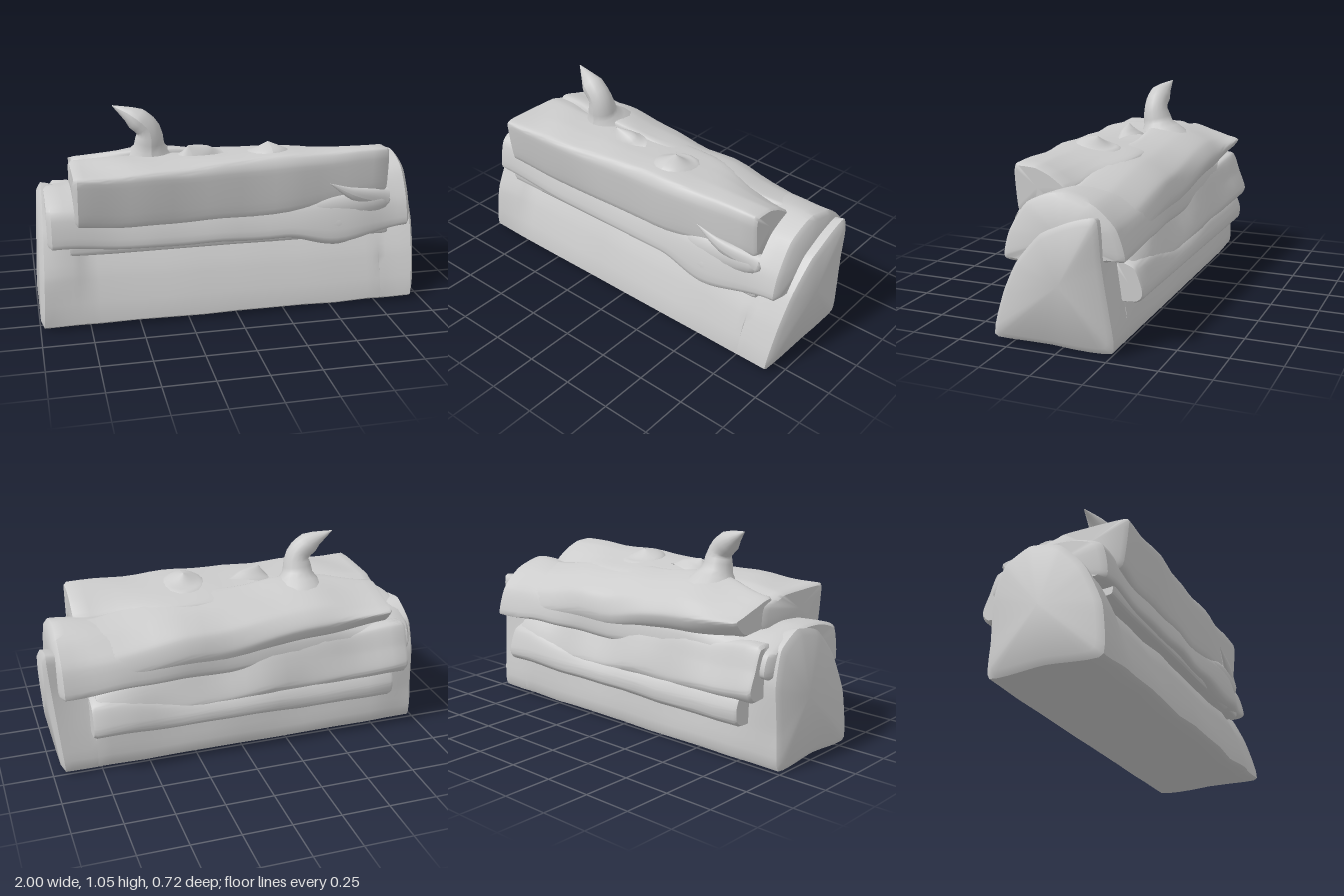
import * as THREE from 'three';
import { toCreasedNormals } from 'three/addons/utils/BufferGeometryUtils.js';

const material = new THREE.MeshStandardMaterial({ color: 0xcccccc, side: THREE.DoubleSide });
const RING = 48, STEPS = 8;

// Closed solid lofted along x. Each row is [x, [[z, y], ...]], going from the back over the top to the front.
function loft(name, rows, { wobble = 0.006, round = 0.015, tension = 0.35, lean = () => 0 } = {}) {
  const rings = rows.map(([x, pts]) => ({
    x,
    pts: new THREE.CatmullRomCurve3(pts.map(([z, y]) => new THREE.Vector3(0, y, z)), true, 'catmullrom', tension)
      .getPoints(RING).slice(0, RING),
  }));
  const sections = [];
  for (let i = 0; i < rings.length - 1; i++) {
    const a = rings[i], b = rings[i + 1];
    for (let s = i ? 1 : 0; s <= STEPS; s++) {
      const t = s / STEPS;
      const e = t * t * (3 - 2 * t);
      sections.push({ x: a.x + (b.x - a.x) * t, pts: a.pts.map((p, j) => p.clone().lerp(b.pts[j], e)) });
    }
  }
  // rounded ends: a shrunken section slightly beyond each end
  const shrink = ({ x, pts }, dx) => {
    const c = pts.reduce((s, p) => s.add(p), new THREE.Vector3()).divideScalar(RING);
    return { x: x + dx, pts: pts.map((p) => p.clone().lerp(c, 0.1)) };
  };
  sections.unshift(shrink(sections[0], -round));
  sections.push(shrink(sections[sections.length - 1], round));

  const pos = [], index = [];
  for (const { x, pts } of sections) {
    for (const p of pts) {
      const w = wobble * (Math.sin(x * 9 + p.y * 7) + Math.sin(x * 17 - p.z * 11)) * 0.5;
      pos.push(x + lean(x, p.y), p.y + w, p.z + w * Math.sign(p.z));
    }
  }
  const last = sections.length - 1;
  for (let i = 0; i < last; i++) {
    for (let j = 0; j < RING; j++) {
      const k = (j + 1) % RING;
      const a = i * RING + j, b = i * RING + k, c = a + RING, d = b + RING;
      index.push(a, b, c, b, d, c);
    }
  }
  for (const [i, flip] of [[0, true], [last, false]]) {
    const c = new THREE.Vector3();
    for (let j = 0; j < RING; j++) c.add(new THREE.Vector3().fromArray(pos, (i * RING + j) * 3));
    c.divideScalar(RING);
    const centre = pos.length / 3;
    pos.push(c.x, c.y, c.z);
    for (let j = 0; j < RING; j++) {
      const a = i * RING + j, b = i * RING + (j + 1) % RING;
      index.push(centre, flip ? b : a, flip ? a : b);
    }
  }
  const geo = new THREE.BufferGeometry();
  geo.setAttribute('position', new THREE.Float32BufferAttribute(pos, 3));
  geo.setIndex(index);
  const mesh = new THREE.Mesh(toCreasedNormals(geo, 0.8), material);
  mesh.name = name;
  return mesh;
}

// Tapered, bent spike following a curve; depth flattens it in z.
function spike(name, points, radii, depth = 1) {
  const curve = new THREE.CatmullRomCurve3(points.map((p) => new THREE.Vector3(...p)));
  const geo = new THREE.CylinderGeometry(1, 1, 1, 16, 12, true);
  const p = geo.attributes.position;
  for (let i = 0; i < p.count; i++) {
    const t = p.getY(i) + 0.5;
    const f = t * (radii.length - 1), n = Math.min(Math.floor(f), radii.length - 2);
    const r = radii[n] + (radii[n + 1] - radii[n]) * (f - n);
    const c = curve.getPoint(t), dir = curve.getTangent(t);
    const q = new THREE.Quaternion().setFromUnitVectors(new THREE.Vector3(0, 1, 0), dir);
    const v = new THREE.Vector3(p.getX(i) * r, 0, p.getZ(i) * r).applyQuaternion(q);
    v.z *= depth;
    v.add(c);
    p.setXYZ(i, v.x, v.y, v.z);
  }
  geo.computeVertexNormals();
  const mesh = new THREE.Mesh(geo, material);
  mesh.name = name;
  return mesh;
}

function bump(name, position, scale, tilt = 0) {
  const mesh = new THREE.Mesh(new THREE.SphereGeometry(1, 20, 14), material);
  mesh.position.set(...position);
  mesh.scale.set(...scale);
  mesh.rotation.z = tilt;
  mesh.name = name;
  return mesh;
}

export function createModel() {
  const group = new THREE.Group();
  group.name = 'packedBundle';

  // main base: flat bottom, straight back, sloping front, fuller at its right end
  const leftEnd = [[-0.25, 0.015], [-0.25, 0.2], [-0.22, 0.45], [-0.2, 0.65], [-0.08, 0.63],
    [0.07, 0.56], [0.2, 0.41], [0.28, 0.25], [0.335, 0.02], [0.04, 0.02]];
  const middle = leftEnd.map(([z, y]) => [z, y > 0.5 ? y - 0.06 : y]);
  const rightEnd = [[-0.24, 0.015], [-0.25, 0.2], [-0.25, 0.42], [-0.2, 0.58], [-0.07, 0.65],
    [0.08, 0.61], [0.22, 0.47], [0.32, 0.27], [0.33, 0.02], [0.04, 0.02]];
  group.add(loft('base', [[-0.98, rightEnd], [-0.7, middle], [0.7, middle], [0.985, leftEnd]], {
    tension: 0.25, round: 0.018, wobble: 0.008,
    lean: (x, y) => (x > 0.8 ? -0.05 * Math.max(0, 1 - y / 0.6) : x < -0.8 ? 0.03 * y / 0.66 : 0),
  }));

  // blanket draped over the base, sagging at the front left
  group.add(loft('drapedCover', [
    [-0.92, [[-0.25, 0.44], [-0.28, 0.48], [-0.25, 0.56], [-0.14, 0.62], [0, 0.65],
      [0.15, 0.64], [0.28, 0.59], [0.31, 0.43], [0.24, 0.41], [0, 0.41]]],
    [-0.4, [[-0.25, 0.44], [-0.28, 0.49], [-0.26, 0.6], [-0.14, 0.69], [0, 0.71],
      [0.16, 0.67], [0.28, 0.55], [0.32, 0.41], [0.24, 0.385], [0, 0.4]]],
    [0.25, [[-0.25, 0.45], [-0.29, 0.49], [-0.27, 0.61], [-0.15, 0.7], [0, 0.72],
      [0.16, 0.67], [0.28, 0.55], [0.32, 0.41], [0.24, 0.38], [0, 0.4]]],
    [0.52, [[-0.25, 0.45], [-0.305, 0.48], [-0.27, 0.61], [-0.15, 0.7], [0, 0.73],
      [0.16, 0.68], [0.3, 0.57], [0.34, 0.37], [0.25, 0.335], [0, 0.4]]],
    [0.92, [[-0.24, 0.45], [-0.315, 0.46], [-0.27, 0.6], [-0.16, 0.7], [0, 0.74],
      [0.16, 0.68], [0.26, 0.54], [0.29, 0.42], [0.22, 0.4], [0, 0.4]]],
  ], { round: 0.02 }));

  // boxy roll lying on top at the front
  group.add(loft('topFrontRoll', [
    [-0.79, [[-0.12, 0.62], [-0.12, 0.74], [0.02, 0.79], [0.2, 0.79], [0.33, 0.785], [0.355, 0.76], [0.32, 0.54], [0.2, 0.5]]],
    [-0.5, [[-0.05, 0.62], [-0.05, 0.75], [0.04, 0.8], [0.2, 0.805], [0.33, 0.79], [0.35, 0.75], [0.31, 0.52], [0.2, 0.49]]],
    [0.2, [[-0.1, 0.62], [-0.1, 0.77], [0.03, 0.8], [0.18, 0.82], [0.29, 0.82], [0.32, 0.76], [0.3, 0.53], [0.2, 0.5]]],
    [0.79, [[0.02, 0.65], [0.02, 0.73], [0.1, 0.79], [0.18, 0.825], [0.28, 0.83], [0.295, 0.78], [0.28, 0.61], [0.2, 0.58]]],
  ], { tension: 0.25 }));

  // folded flap over the top of the back, jutting at its right end and sinking into the cover at the left
  group.add(loft('topBackFlap', [
    [-0.775, [[-0.25, 0.62], [-0.34, 0.7], [-0.28, 0.72], [-0.18, 0.75], [-0.06, 0.78], [0, 0.66]]],
    [-0.4, [[-0.25, 0.58], [-0.31, 0.66], [-0.25, 0.74], [-0.12, 0.8], [0.03, 0.82], [0, 0.66]]],
    [0.2, [[-0.25, 0.52], [-0.295, 0.58], [-0.26, 0.68], [-0.13, 0.76], [0.03, 0.79], [0, 0.66]]],
    [0.87, [[-0.24, 0.47], [-0.295, 0.5], [-0.26, 0.6], [-0.15, 0.69], [0, 0.73], [0, 0.65]]],
  ]));

  // sagging roll on the back, thicker toward the right end
  group.add(loft('upperBackRoll', [
    [-0.88, [[-0.2, 0.36], [-0.31, 0.33], [-0.345, 0.38], [-0.31, 0.48], [-0.27, 0.59], [-0.18, 0.58]]],
    [-0.3, [[-0.2, 0.35], [-0.3, 0.31], [-0.33, 0.36], [-0.3, 0.47], [-0.26, 0.56], [-0.18, 0.55]]],
    [0.3, [[-0.2, 0.32], [-0.3, 0.29], [-0.325, 0.33], [-0.29, 0.42], [-0.25, 0.49], [-0.18, 0.49]]],
    [0.75, [[-0.2, 0.3], [-0.3, 0.29], [-0.325, 0.33], [-0.3, 0.4], [-0.26, 0.45], [-0.18, 0.45]]],
  ], { wobble: 0.012 }));

  // thin ledge beneath the back roll
  group.add(loft('lowerBackLedge', [
    [-0.8, [[-0.2, 0.21], [-0.3, 0.2], [-0.34, 0.23], [-0.345, 0.29], [-0.31, 0.36], [-0.2, 0.4]]],
    [0.2, [[-0.2, 0.22], [-0.3, 0.21], [-0.345, 0.24], [-0.345, 0.29], [-0.31, 0.34], [-0.2, 0.38]]],
    [0.78, [[-0.2, 0.23], [-0.31, 0.22], [-0.35, 0.25], [-0.35, 0.3], [-0.31, 0.4], [-0.2, 0.42]]],
  ], { wobble: 0.008 }));

  // low hem showing under the front of the cover
  group.add(loft('frontHem', [[-0.82, [[0.2, 0.375], [0.2, 0.45], [0.29, 0.45], [0.29, 0.375]]],
    [0.8, [[0.2, 0.37], [0.2, 0.44], [0.28, 0.44], [0.28, 0.37]]]], { wobble: 0.004 }));

  // bent horn standing on the top
  group.add(spike('horn', [[-0.39, 0.74, -0.01], [-0.395, 0.84, 0.02], [-0.4, 0.93, 0.035], [-0.46, 0.99, 0.03], [-0.575, 1.055, 0]],
    [0.16, 0.08, 0.062, 0.058, 0.002]));

  // peaked folds on the top
  group.add(
    spike('topFoldLeft', [[0.2, 0.78, 0.14], [0.2, 0.82, 0.14], [0.2, 0.86, 0.13]], [0.15, 0.1, 0.002]),
    spike('topFoldRight', [[-0.18, 0.77, 0.1], [-0.19, 0.81, 0.11], [-0.21, 0.86, 0.12]], [0.16, 0.1, 0.002], 0.45),
  );

  // knotted fold at the front left: a sagging lump, a swept band and a pointed tip
  group.add(
    bump('frontKnot', [0.53, 0.43, 0.28], [0.15, 0.1, 0.055]),
    bump('knotBand', [0.57, 0.53, 0.265], [0.26, 0.08, 0.05], 0.06),
    spike('knotTip', [[0.8, 0.55, 0.25], [0.62, 0.6, 0.3], [0.48, 0.67, 0.315]], [0.06, 0.035, 0.001], 0.6),
  );
  return group;
}
